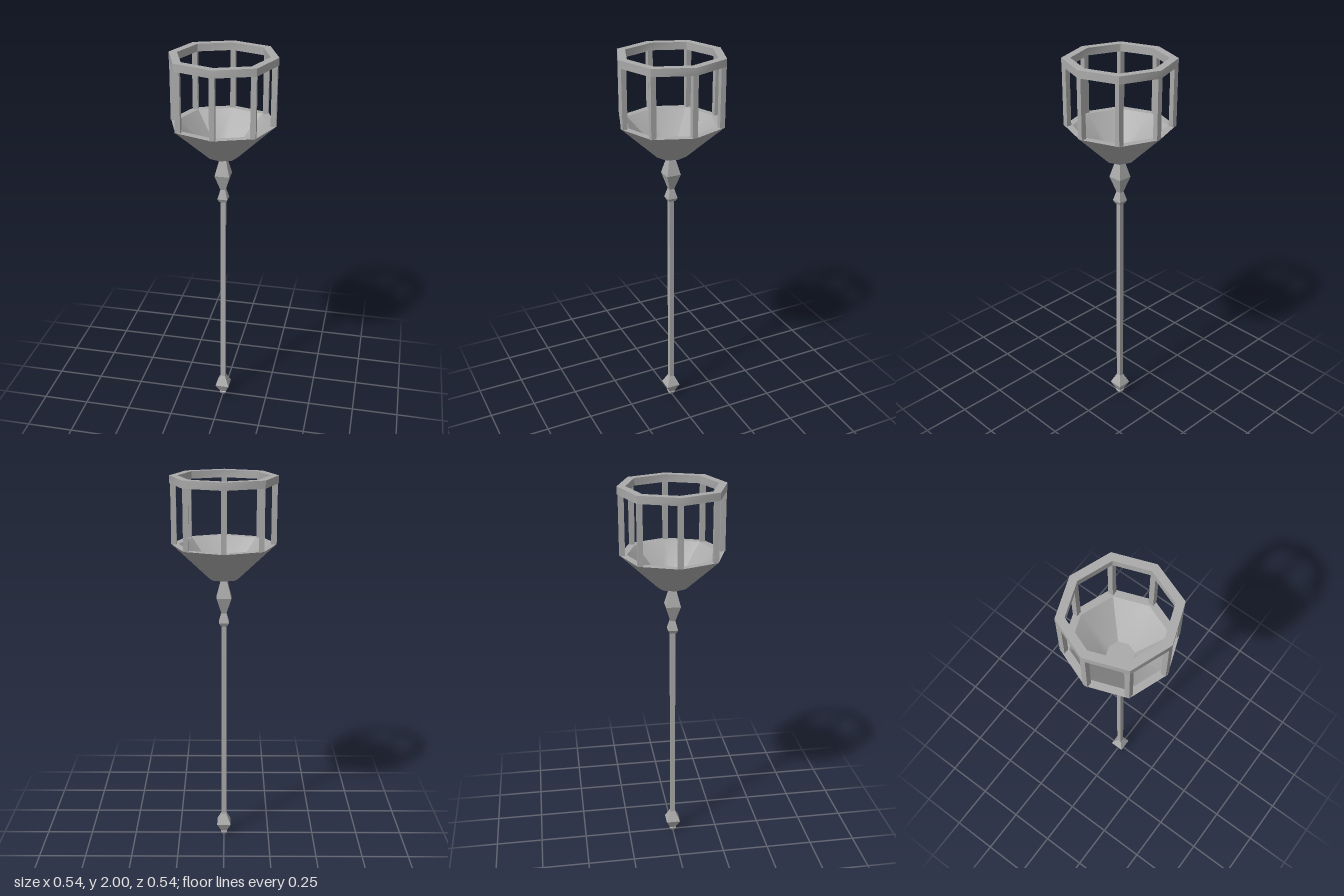
import * as THREE from 'three';

// One quarter of each cross-section as unit [x, z] points; repeated four times.
const OCTAGON = [[0.73, -0.73], [1, 0], [0.73, 0.73]];
const SQUARE = [[1, -1], [1, 1]];

// Sweeps a [radius, y] profile around the y axis. Each quarter of each band
// has its own vertices, so shading is smooth in a quarter and sharp between.
function sweep(profile, quarter) {
  const pos = [], index = [];
  const n = quarter.length;
  for (let q = 0; q < 4; q++) {
    const c = Math.round(Math.cos(q * Math.PI / 2));
    const s = Math.round(Math.sin(q * Math.PI / 2));
    for (let i = 0; i < profile.length - 1; i++) {
      const base = pos.length / 3;
      for (const [r, y] of [profile[i], profile[i + 1]]) {
        for (const [x, z] of quarter) pos.push(r * (x * c - z * s), y, r * (x * s + z * c));
      }
      for (let k = 0; k < n - 1; k++) {
        const p0 = base + k, p1 = p0 + 1, q0 = p0 + n, q1 = q0 + 1;
        if (profile[i][0] > 0) index.push(p1, p0, q0);
        if (profile[i + 1][0] > 0) index.push(p1, q0, q1);
      }
    }
  }
  const geo = new THREE.BufferGeometry();
  geo.setAttribute('position', new THREE.Float32BufferAttribute(pos, 3));
  geo.setIndex(index);
  geo.computeVertexNormals();
  return geo;
}

export function createModel() {
  const group = new THREE.Group();
  const grey = new THREE.MeshStandardMaterial({ color: 0xaaaaaa });
  grey.name = 'grey';

  const add = (name, geo, x = 0, y = 0, z = 0) => {
    const mesh = new THREE.Mesh(geo, grey);
    mesh.name = name;
    mesh.position.set(x, y, z);
    group.add(mesh);
  };

  // Square pole with its foot and bottom knob
  add('pole', sweep([
    [0, 0], [0.012, 0], [0.018, 0.016], [0.015, 0.02],
    [0.038, 0.07], [0.013, 0.127], [0.013, 1.23],
  ], SQUARE));

  // Small collar and large knob under the bowl
  add('upperKnob', sweep([
    [0.013, 1.23], [0.018, 1.233], [0.026, 1.25], [0.013, 1.3],
    [0.038, 1.383], [0.013, 1.484],
  ], SQUARE));

  // Eight-sided bowl with a flat rim and floor
  add('bowl', sweep([
    [0, 1.484], [0.078, 1.484], [0.267, 1.66],
    [0.228, 1.66], [0.068, 1.51], [0, 1.51],
  ], OCTAGON));

  // Posts at the corners of the octagon
  const postGeo = new THREE.BoxGeometry(0.027, 0.305, 0.027);
  for (let i = 0; i < 8; i++) {
    const a = i * Math.PI / 4;
    const r = i % 2 ? 0.183 * Math.SQRT2 : 0.2515;
    add('post', postGeo, r * Math.cos(a), 1.8125, r * Math.sin(a));
  }

  // Top ring
  add('topRing', sweep([
    [0.228, 1.962], [0.27, 1.962], [0.27, 2], [0.228, 2], [0.228, 1.962],
  ], OCTAGON));

  return group;
}
